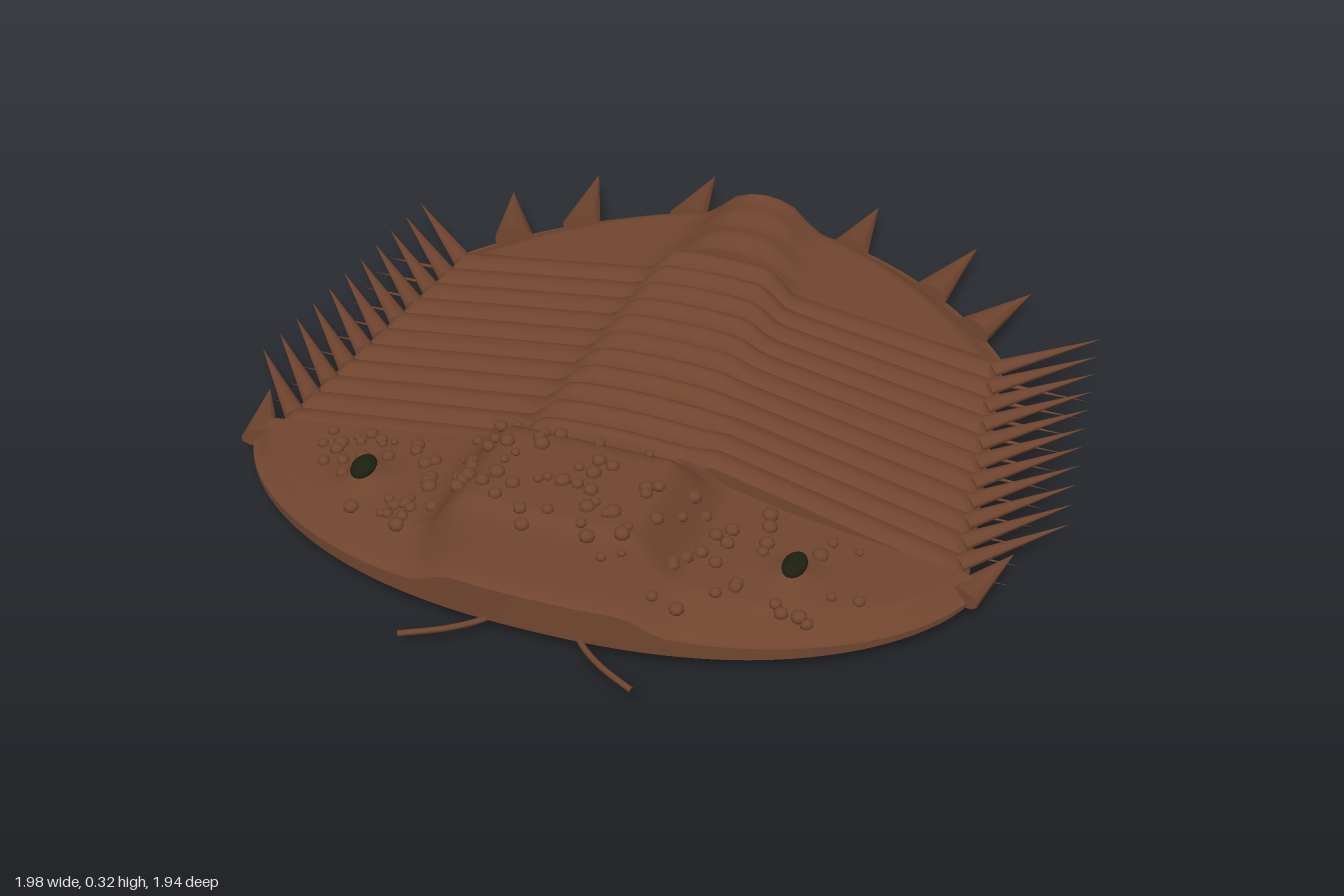
import * as THREE from 'three';
import { toCreasedNormals } from 'three/addons/utils/BufferGeometryUtils.js';

const BASE = 0.05;
const { smoothstep, lerp, clamp } = THREE.MathUtils;

// Closed shell: a height field on top of a flat underside
function shell(nu, nv, plan, height) {
  const pos = [], idx = [], ring = nv + 3;
  for (let i = 0; i <= nu; i++) {
    const u = (i / nu) * 2 - 1;
    const edge = i === 0 || i === nu;
    for (let j = -1; j <= nv + 1; j++) {
      const [x, z] = plan(u, clamp(j / nv, 0, 1));
      const y = j < 0 || j > nv || edge ? BASE : height(x, z);
      pos.push(x, y, z);
    }
  }
  for (let i = 0; i < nu; i++) {
    for (let j = 0; j < ring; j++) {
      const k = (j + 1) % ring;
      const a = i * ring + j, b = i * ring + k, c = a + ring, d = b + ring;
      idx.push(a, b, c, b, d, c);
    }
  }
  const geo = new THREE.BufferGeometry();
  geo.setAttribute('position', new THREE.Float32BufferAttribute(pos, 3));
  geo.setIndex(idx);
  return toCreasedNormals(geo, 0.7);
}

// Head outline and relief
const headFront = x => 0.4 + 0.455 * Math.pow(Math.max(0, 1 - Math.pow(Math.abs(x) / 0.86, 2.3)), 0.6);
function headHeight(x, z) {
  const ax = Math.abs(x);
  const cheek = ax < 0.42 ? lerp(0.185, 0.145, clamp((ax - 0.25) / 0.17, 0, 1)) : lerp(0.145, 0.08, (ax - 0.42) / 0.44);
  const dome = 0.115 * (1 - smoothstep(ax, 0.19, 0.29)) * (0.35 + 0.65 * smoothstep(z, 0.41, 0.51));
  const eyeMound = 0.025 * Math.exp(-((ax - 0.5) ** 2 + (z - 0.6) ** 2) / 0.003);
  const rim = 0.35 + 0.65 * smoothstep(headFront(x) - z, 0, 0.085);
  return BASE + (cheek + dome + eyeMound - BASE) * rim;
}

// Thorax: raised axis between sloping side ribs
const SEGMENTS = 11, PITCH = 0.8 / SEGMENTS;
const bodyHalf = z => lerp(0.7, 0.83, (z + 0.4) / 0.8);
function bodyHeight(x, z, arch) {
  const ax = Math.abs(x), half = bodyHalf(z);
  const axisHalf = lerp(0.17, 0.23, (z + 0.4) / 0.8);
  const t = clamp((ax - axisHalf) / (half - axisHalf), 0, 1);
  const lift = x > 0 ? 0.08 * clamp((z + 0.4) / 0.8, 0, 1) : 0;
  const rib = lerp(0.145 + lift, 0.068, t) + 0.014 * arch;
  const axis = 0.185 + 0.015 * (1 - (ax / axisHalf) ** 2) + 0.035 * arch;
  return lerp(axis, rib, smoothstep(ax, axisHalf * 0.7, axisHalf * 1.1));
}

// Tail shield
const tailBack = x => -0.4 - 0.4 * Math.pow(Math.max(0, 1 - (x / 0.71) ** 2), 0.9);
function tailHeight(x, z) {
  const ax = Math.abs(x), s = clamp((-0.4 - z) / 0.4, 0, 1);
  const rim = 0.2 + 0.8 * smoothstep(z - tailBack(x), 0, 0.1);
  const side = lerp(0.15, 0.075, ax / 0.71);
  const ripple = 0.008 * Math.cos((z + 0.4) * 58) * (1 - s);
  const ridge = (0.06 + ripple) * (1 - smoothstep(ax, 0.05, lerp(0.22, 0.13, s)));
  return BASE + (side + ridge - BASE) * rim;
}

// Cone from a base point to a tip, flattened vertically
function spike(name, from, to, radius, flat, material) {
  const a = new THREE.Vector3(...from), b = new THREE.Vector3(...to);
  const dir = b.clone().sub(a), len = dir.length();
  const geo = new THREE.ConeGeometry(radius, len, 10);
  geo.translate(0, len / 2, 0);
  geo.rotateX(Math.PI / 2);
  geo.scale(1, flat, 1);
  const mesh = new THREE.Mesh(geo, material);
  mesh.name = name;
  mesh.position.copy(a);
  mesh.lookAt(b);
  return mesh;
}

export function createModel() {
  const model = new THREE.Group();
  model.name = 'trilobite';
  const brown = new THREE.MeshStandardMaterial({ color: 0x70452f });
  brown.name = 'shell brown';
  const dark = new THREE.MeshStandardMaterial({ color: 0x1c2010 });
  dark.name = 'eye dark green';
  const add = (name, geo, mat = brown, parent = model) => {
    const mesh = new THREE.Mesh(geo, mat);
    mesh.name = name;
    parent.add(mesh);
    return mesh;
  };

  // Head shield
  add('headShield', shell(72, 24, (u, v) => {
    const x = 0.86 * Math.sin(u * Math.PI / 2);
    return [x, lerp(0.4, headFront(x), 1 - (1 - v) ** 1.5)];
  }, headHeight));

  // Neck ring behind the head
  add('neckRing', shell(24, 6, (u, v) => [u * 0.24, lerp(0.395, 0.435, v)],
    (x, z) => 0.16 + 0.1 * (1 - Math.abs(x / 0.24) ** 4) * Math.sin(Math.PI * clamp((z - 0.39) / 0.05, 0, 1))));

  // Thorax segments, each arched from front to back
  const thorax = new THREE.Group();
  thorax.name = 'thorax';
  model.add(thorax);
  for (let i = 0; i < SEGMENTS; i++) {
    const z0 = -0.4 + i * PITCH;
    add('thoraxSegment', shell(48, 8, (u, v) => {
      const z = z0 + v * PITCH;
      return [u * bodyHalf(z), z];
    }, (x, z) => bodyHeight(x, z, Math.pow(Math.max(0, Math.sin(Math.PI * (z - z0) / PITCH)), 0.7))), brown, thorax);
  }

  // Tail shield
  add('tailShield', shell(60, 24, (u, v) => {
    const x = 0.71 * Math.sin(u * Math.PI / 2);
    return [x, lerp(tailBack(x), -0.4, v ** 1.3)];
  }, tailHeight));

  // Mirrored parts
  for (const s of [1, -1]) {
    for (let i = 0; i < SEGMENTS; i++) {
      const t = i / (SEGMENTS - 1), z = lerp(-0.365, 0.355, t);
      const x = bodyHalf(z) - 0.03;
      model.add(spike('sideSpine', [s * x, 0.07, z], [s * lerp(0.895, 0.99, t), 0.06, z - 0.228], 0.026, 0.6, brown));
      model.add(spike('leg', [s * 0.45, 0.035, z], [s * 0.91, 0.003, z - 0.045], 0.016, 0.8, brown));
    }
    model.add(spike('cheekSpine', [s * 0.83, 0.068, 0.46], [s * 0.9, 0.06, 0.27], 0.045, 0.5, brown));
    for (const [bx, bz, tx, tz] of [[0.215, -0.74, 0.222, -0.97], [0.455, -0.61, 0.51, -0.875], [0.595, -0.5, 0.688, -0.722]]) {
      model.add(spike('tailSpine', [s * bx, 0.075, bz], [s * tx, 0.06, tz], 0.05, 0.6, brown));
    }

    // Feelers
    const path = new THREE.CatmullRomCurve3([[0.08, 0.81], [0.115, 0.86], [0.175, 0.91], [0.265, 0.96]]
      .map(([x, z]) => new THREE.Vector3(s * x, 0.052, z)));
    add('feeler', new THREE.TubeGeometry(path, 12, 0.007, 6));

    // Eyes
    const eye = add('eye', new THREE.SphereGeometry(1, 14, 10), dark);
    eye.scale.set(0.027, 0.016, 0.042);
    eye.position.set(s * 0.5, 0.175, 0.6);
  }

  // Bumps scattered over the head
  let seed = 7;
  const random = () => (seed = (seed * 16807) % 2147483647) / 2147483647;
  const bumps = new THREE.Group();
  bumps.name = 'headBumps';
  model.add(bumps);
  const bumpGeo = new THREE.SphereGeometry(1, 8, 6);
  for (let placed = 0; placed < 125;) {
    const x = (random() * 2 - 1) * 0.66, z = lerp(0.43, 0.82, random());
    const nearEye = Math.hypot(Math.abs(x) - 0.5, z - 0.6) < 0.05;
    if (z > headFront(x) - 0.04 || nearEye) continue;
    const bump = add('headBump', bumpGeo, brown, bumps);
    const r = lerp(0.01, 0.019, random());
    bump.scale.set(r, r * 0.8, r);
    bump.position.set(x, headHeight(x, z) + 0.004, z);
    placed++;
  }
  return model;
}
